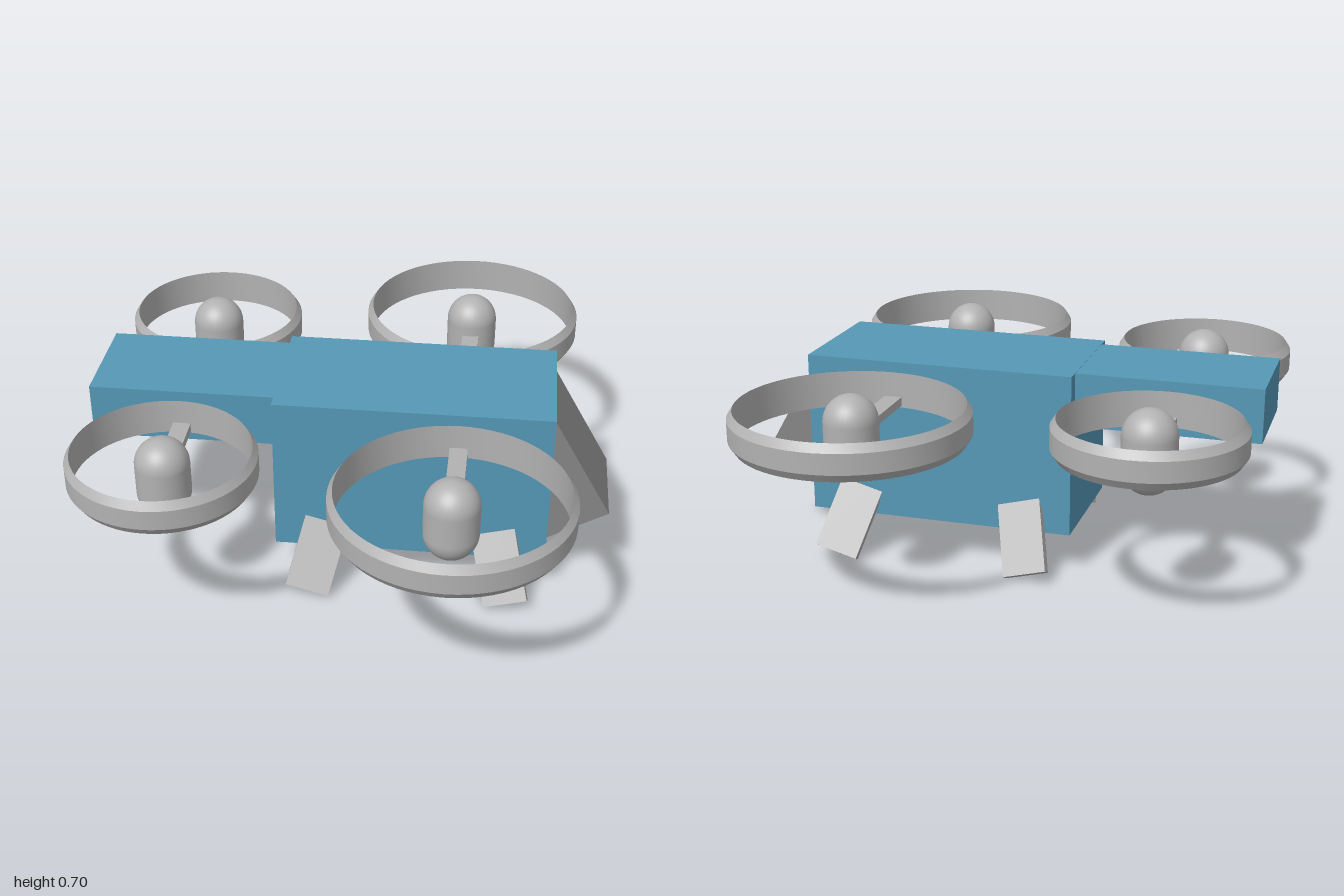
import * as THREE from 'three';
import { toCreasedNormals } from 'three/addons/utils/BufferGeometryUtils.js';

const mat = (name, color) => {
  const m = new THREE.MeshStandardMaterial({ color });
  m.name = name;
  return m;
};

export function createModel() {
  const blue = mat('hull blue', 0x5698b6);
  const darkGrey = mat('cockpit grey', 0x868686);
  const lightGrey = mat('rotor grey', 0xb2b2b2);

  const model = new THREE.Group();
  model.name = 'quadRotorCraft';

  const add = (parent, name, geometry, material, x, y, z) => {
    const mesh = new THREE.Mesh(geometry, material);
    mesh.name = name;
    mesh.position.set(x, y, z);
    parent.add(mesh);
    return mesh;
  };

  // Hull and tail boom
  add(model, 'hull', new THREE.BoxGeometry(0.935, 0.56, 0.47), blue, 0.2075, 0.42, 0);
  add(model, 'tailBoom', new THREE.BoxGeometry(0.64, 0.184, 0.374), blue, -0.565, 0.607, 0);

  // Tilted cockpit block sunk into the nose
  add(model, 'cockpit', new THREE.BoxGeometry(0.28, 0.415, 0.34), darkGrey, 0.655, 0.415, 0)
    .rotation.z = Math.PI / 6;

  // Ring shroud with chamfered outer edges and a straight inner wall
  const ringGeometry = (r) => {
    const profile = [
      [r - 0.018, -0.061], [r, -0.034], [r, 0.034], [r - 0.018, 0.061], [r - 0.018, -0.061],
    ].map(([x, y]) => new THREE.Vector2(x, y));
    return toCreasedNormals(new THREE.LatheGeometry(profile, 64), 0.4);
  };

  // One rotor: shroud, capsule motor and the arm reaching into the hull
  const addRotor = (name, x, z, radius, hullHalfWidth, side) => {
    const rotor = new THREE.Group();
    rotor.name = name;
    rotor.position.set(x, 0, side * z);
    model.add(rotor);
    add(rotor, 'shroud', ringGeometry(radius), lightGrey, 0, 0.605, 0);
    add(rotor, 'motor', new THREE.CapsuleGeometry(0.09, 0.1, 12, 32), lightGrey, 0, 0.56, 0);
    const reach = z - hullHalfWidth + 0.05;
    add(rotor, 'arm', new THREE.BoxGeometry(0.06, 0.03, reach), lightGrey, 0, 0.565, -side * reach / 2);
  };

  // Legs splay outward in both directions
  const legGeometry = new THREE.BoxGeometry(0.152, 0.35, 0.03);

  for (const side of [1, -1]) {
    const label = side > 0 ? 'near' : 'far';
    addRotor(label + 'LargeRotor', 0.363, 0.612, 0.388, 0.235, side);
    addRotor(label + 'SmallRotor', -0.575, 0.483, 0.31, 0.187, side);
    for (const end of [1, -1]) {
      const leg = add(model, label + (end > 0 ? 'NoseLeg' : 'TailLeg'), legGeometry, lightGrey,
        0.206 + end * 0.304, 0.173, side * 0.26);
      leg.rotation.set(-side * Math.PI / 6, 0, end * Math.PI / 12, 'ZYX');
    }
  }
  return model;
}
